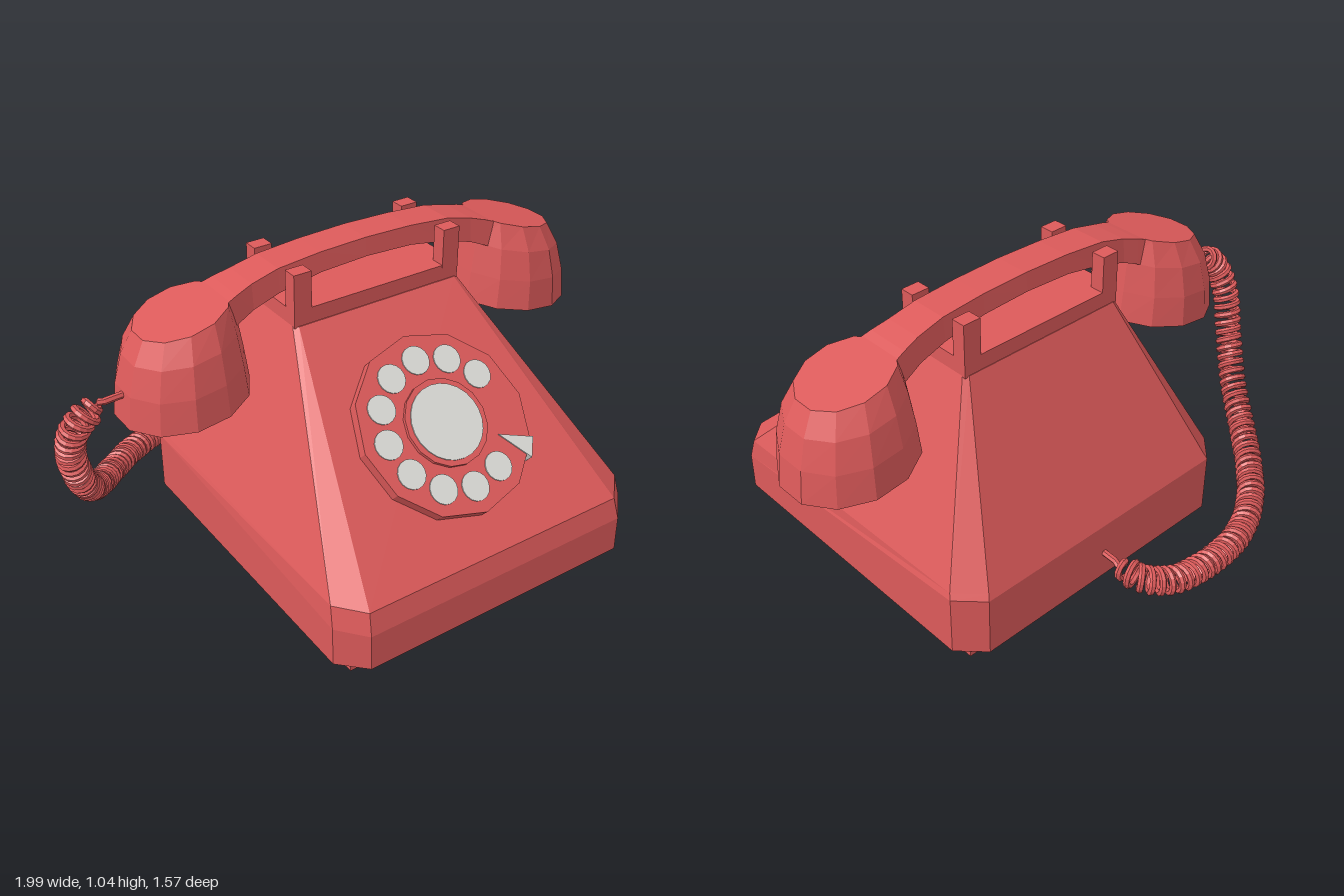
import * as THREE from 'three';

const CX = 0.1; // centre line of the phone
const CZ = -0.06; // centre line of the handset

const red = new THREE.MeshStandardMaterial({ color: 0xdc5a5a, flatShading: true });
red.name = 'red shell';
const grey = new THREE.MeshStandardMaterial({ color: 0xdadad6, flatShading: true });
grey.name = 'pale grey';

function add(parent, name, geometry, material, x = 0, y = 0, z = 0) {
  const mesh = new THREE.Mesh(geometry, material);
  mesh.name = name;
  mesh.position.set(x, y, z);
  parent.add(mesh);
  return mesh;
}

// Joins equal-length rings of points into a closed, faceted solid.
function loft(rings) {
  const pos = [];
  const tri = (...pts) => pts.forEach((p) => pos.push(...p));
  const n = rings[0].length;
  for (let i = 0; i < rings.length - 1; i++) {
    for (let j = 0; j < n; j++) {
      const k = (j + 1) % n;
      const [a, b, c, d] = [rings[i][j], rings[i][k], rings[i + 1][k], rings[i + 1][j]];
      tri(a, b, c);
      tri(a, c, d);
    }
  }
  const first = rings[0], last = rings[rings.length - 1];
  for (let j = 1; j < n - 1; j++) {
    tri(first[0], first[j + 1], first[j]);
    tri(last[0], last[j], last[j + 1]);
  }
  const g = new THREE.BufferGeometry();
  g.setAttribute('position', new THREE.Float32BufferAttribute(pos, 3));
  g.computeVertexNormals();
  return g;
}

// Rectangle with cut corners; front, side and back heights may differ.
function bodyRing({ hx, zf, zb, c, yf, ys, yb }) {
  const ix = hx - c;
  return [
    [hx, ys, zf - c], [hx, yb, zb + c], [ix, yb, zb], [-ix, yb, zb],
    [-hx, yb, zb + c], [-hx, ys, zf - c], [-ix, yf, zf], [ix, yf, zf],
  ];
}

// Tilted disc given by its outer and inner points in the x-y plane.
function cupRing([x0, y0, x1, y1, rz]) {
  return Array.from({ length: 12 }, (_, i) => {
    const a = ((i + 0.5) / 12) * Math.PI * 2;
    const t = Math.cos(a) / Math.cos(Math.PI / 12) / 2 + 0.5;
    return [x0 + (x1 - x0) * t, y0 + (y1 - y0) * t, -Math.sin(a) * rz];
  });
}

function makeBody() {
  const body = new THREE.Group();
  body.name = 'body';
  body.position.x = CX;
  const rings = [
    { hx: 0.6, zf: 0.785, zb: -0.51, c: 0.085, yf: 0.03, ys: 0.03, yb: 0.03 },
    { hx: 0.6, zf: 0.782, zb: -0.51, c: 0.085, yf: 0.16, ys: 0.17, yb: 0.25 },
    { hx: 0.592, zf: 0.76, zb: -0.5, c: 0.085, yf: 0.235, ys: 0.245, yb: 0.27 },
    { hx: 0.33, zf: 0.085, zb: -0.21, c: 0.015, yf: 0.845, ys: 0.845, yb: 0.845 },
  ].map(bodyRing);
  add(body, 'shell', loft(rings), red);
  add(body, 'footPlate', new THREE.BoxGeometry(1.11, 0.04, 1.19), red, 0, 0.02, 0.135);

  // Cradle: low saddle with four prongs
  add(body, 'saddle', new THREE.BoxGeometry(0.66, 0.06, 0.29), red, 0, 0.87, -0.063);
  for (const x of [-0.297, 0.297]) {
    for (const z of [0.057, -0.182]) {
      add(body, 'cradleProng', new THREE.BoxGeometry(0.066, 0.15, 0.052), red, x, 0.955, z);
    }
  }
  return body;
}

function makeDial() {
  const dial = new THREE.Group();
  dial.name = 'dial';
  dial.position.set(CX, 0.535, 0.43);
  dial.rotation.x = 0.737;
  const disc = (name, r, y0, y1, sides, mat, x = 0, z = 0) =>
    add(dial, name, new THREE.CylinderGeometry(r, r, y1 - y0, sides), mat, x, (y0 + y1) / 2, z);
  disc('dialPlate', 0.315, -0.01, 0.04, 12, red);
  disc('dialHub', 0.15, 0.03, 0.053, 16, red);
  disc('dialCentre', 0.13, 0.05, 0.057, 24, grey);
  for (let k = 1; k <= 10; k++) {
    const a = (k * Math.PI) / 6;
    disc('fingerHole', 0.05, 0.037, 0.044, 16, grey, Math.cos(a) * 0.225, -Math.sin(a) * 0.225);
  }
  // Finger stop, wedge reaching over the rim
  const wedge = new THREE.Shape([[0.165, -0.1], [0.245, -0.212], [0.285, -0.15]].map((p) => new THREE.Vector2(...p)));
  const stop = new THREE.ExtrudeGeometry(wedge, { depth: 0.045, bevelEnabled: false });
  stop.rotateX(-Math.PI / 2);
  add(dial, 'fingerStop', stop, grey);
  return dial;
}

function makeHandset() {
  const handset = new THREE.Group();
  handset.name = 'handset';
  handset.position.set(CX, 0, CZ);

  // Arched handle: x, bottom y, top y, half depth
  const half = [
    [0.62, 0.84, 0.94, 0.1], [0.5, 0.89, 0.985, 0.08], [0.44, 0.915, 1.003, 0.07],
    [0.34, 0.945, 1.027, 0.066], [0.18, 0.972, 1.04, 0.064],
  ];
  const stations = [
    ...half.map(([x, ...r]) => [-x, ...r]), [0, 0.98, 1.045, 0.064],
    ...half.slice().reverse(),
  ];
  const rings = stations.map(([x, y0, y1, d]) => [[x, y1, -d], [x, y1, d], [x, y0, d + 0.008], [x, y0, -d - 0.008]]);
  add(handset, 'handle', loft(rings), red);

  // Earpiece and mouthpiece share one shape, turned half round
  const cup = loft([
    [-0.89, 0.615, -0.455, 0.67, 0.22],
    [-0.877, 0.73, -0.47, 0.78, 0.212],
    [-0.85, 0.83, -0.487, 0.89, 0.19],
    [-0.81, 0.905, -0.505, 0.98, 0.15],
  ].map(cupRing));
  add(handset, 'mouthpiece', cup, red);
  add(handset, 'earpiece', cup, red).rotation.y = Math.PI;
  return handset;
}

function makeCord() {
  const path = new THREE.CatmullRomCurve3([
    [0.1, 0.13, -0.49], [0.1, 0.125, -0.57], [0.09, 0.11, -0.65], [0, 0.08, -0.715],
    [-0.18, 0.06, -0.735], [-0.36, 0.06, -0.715], [-0.52, 0.07, -0.64], [-0.66, 0.1, -0.52],
    [-0.76, 0.155, -0.4], [-0.85, 0.26, -0.27], [-0.915, 0.4, -0.18], [-0.947, 0.55, -0.12],
    [-0.93, 0.65, -0.075], [-0.87, 0.705, -0.06], [-0.77, 0.715, -0.06],
  ].map((p) => new THREE.Vector3(...p)));
  path.arcLengthDivisions = 800;
  const turns = 62, steps = turns * 10;
  const frames = path.computeFrenetFrames(steps, false);
  // Coil radius fades to a straight lead at both ends
  const points = Array.from({ length: steps + 1 }, (_, i) => {
    const u = i / steps;
    const r = 0.04 * THREE.MathUtils.smoothstep(Math.min(u, 1 - u), 0.035, 0.065);
    const a = u * turns * Math.PI * 2;
    return path.getPointAt(u)
      .addScaledVector(frames.normals[i], r * Math.cos(a))
      .addScaledVector(frames.binormals[i], r * Math.sin(a));
  });
  const coil = new THREE.CatmullRomCurve3(points);
  coil.arcLengthDivisions = 2000;
  const cord = new THREE.Mesh(new THREE.TubeGeometry(coil, 800, 0.012, 6), red);
  cord.name = 'coiledCord';
  return cord;
}

export function createModel() {
  const phone = new THREE.Group();
  phone.name = 'rotaryTelephone';
  phone.add(makeBody(), makeDial(), makeHandset(), makeCord());
  return phone;
}
